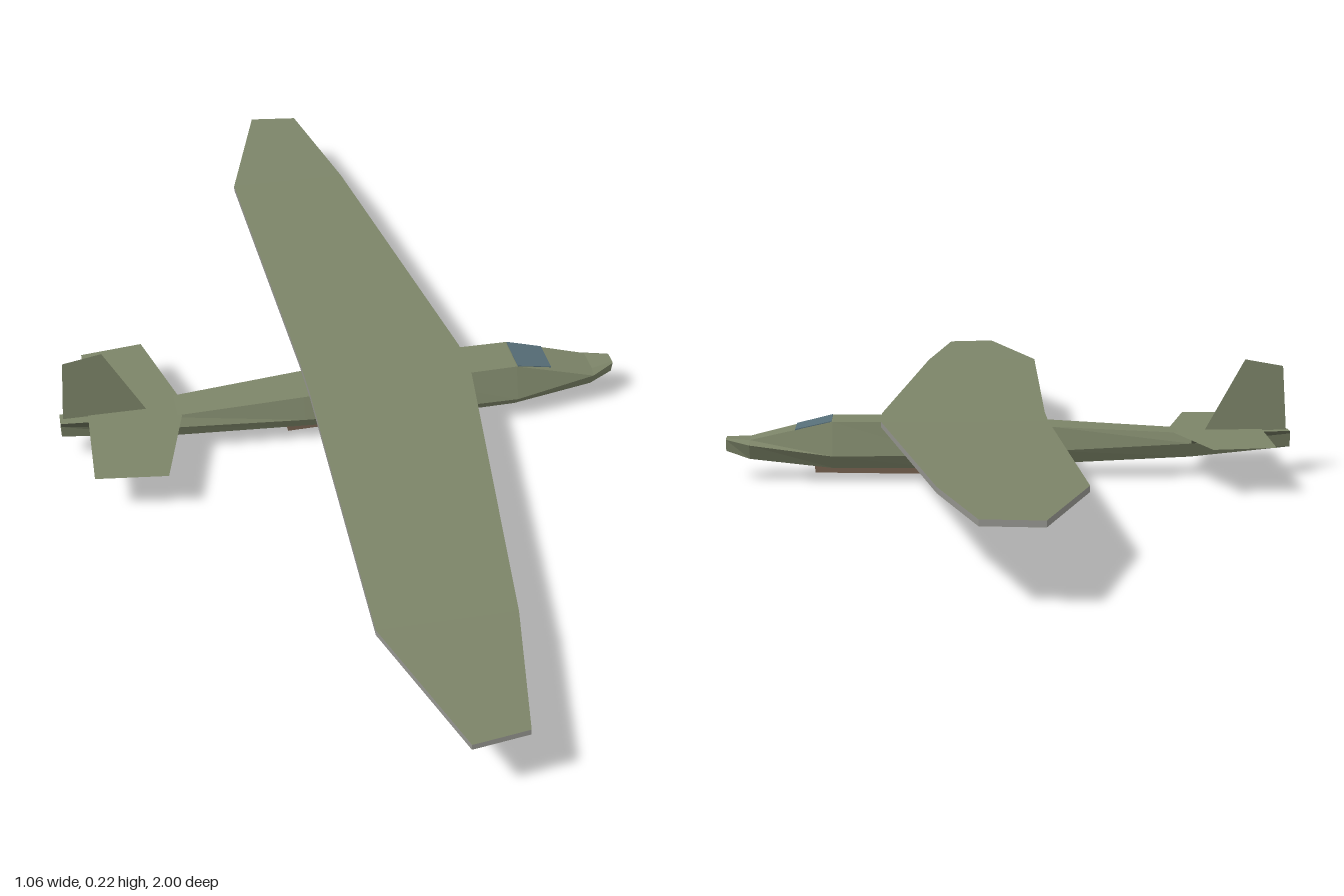
import * as THREE from 'three';

const paint = (name, color, extra = {}) =>
  Object.assign(new THREE.MeshStandardMaterial({ color, ...extra }), { name });

// Joins equal-sized rings (anticlockwise seen from the far end) into a flat-faced solid.
// pick(i, j) gives the material index for side j of span i.
function loft(rings, pick = () => 0) {
  const faces = [];
  const n = rings[0].length;
  const addPoly = (p, m) => {
    for (let k = 1; k < p.length - 1; k++) faces.push({ m, pts: [p[0], p[k], p[k + 1]] });
  };
  for (let i = 0; i < rings.length - 1; i++) {
    for (let j = 0; j < n; j++) {
      const k = (j + 1) % n;
      addPoly([rings[i][j], rings[i][k], rings[i + 1][k], rings[i + 1][j]], pick(i, j));
    }
  }
  addPoly([...rings[0]].reverse(), pick(0, -1));
  addPoly(rings[rings.length - 1], pick(rings.length - 2, -1));
  faces.sort((a, b) => a.m - b.m);
  const g = new THREE.BufferGeometry();
  g.setAttribute('position', new THREE.Float32BufferAttribute(faces.flatMap((f) => f.pts.flat()), 3));
  faces.forEach((f, i) => g.addGroup(i * 3, 3, f.m));
  g.computeVertexNormals();
  return g;
}

export function createModel() {
  const model = new THREE.Group();
  model.name = 'glider';
  const olive = paint('olive', 0x7c8468);
  const thinOlive = paint('olive thin surfaces', 0x7c8468, { side: THREE.DoubleSide });
  const darkOlive = paint('dark olive', 0x3c4032);
  const grey = paint('underside grey', 0x94948e);
  const brown = paint('skid brown', 0x75604f);
  const glass = paint('canopy glass', 0x566e78);

  const add = (name, geometry, material) => {
    const mesh = new THREE.Mesh(geometry, material);
    mesh.name = name;
    model.add(mesh);
    return mesh;
  };

  // Hexagonal fuselage: x, top y, top half width, middle y, middle half width, bottom y, bottom half width
  const stations = [
    [-0.53, 0.083, 0.015, 0.079, 0.018, 0.053, 0.012],
    [-0.34, 0.083, 0.031, 0.065, 0.041, 0.038, 0.028],
    [-0.08, 0.099, 0.042, 0.056, 0.055, 0.029, 0.036],
    [0.12, 0.11, 0.045, 0.05, 0.062, 0.022, 0.04],
    [0.33, 0.112, 0.042, 0.05, 0.062, 0.024, 0.038],
    [0.485, 0.076, 0.026, 0.068, 0.04, 0.04, 0.024],
    [0.53, 0.077, 0.012, 0.075, 0.016, 0.053, 0.01],
  ];
  const rings = stations.map(([x, ty, tw, my, mw, by, bw]) => [
    [x, ty, -tw], [x, ty, tw], [x, my, mw], [x, by, bw], [x, by, -bw], [x, my, -mw],
  ]);
  // The upper tail sides are dark
  add('fuselage', loft(rings, (i, j) => (i === 0 && (j === 1 || j === 5) ? 1 : 0)), [olive, darkOlive]);

  // Canopy panel lying on the sloping nose deck
  add('canopy', loft([[0.332, 0.112, 0.041], [0.4, 0.0965, 0.035]].map(([x, y, w]) => [
    [x, y + 0.001, -w], [x, y + 0.001, w], [x, y - 0.002, w], [x, y - 0.002, -w],
  ])), glass);

  // Tapered wing with slight dihedral: z, trailing x, leading x, underside y, tip sweep in z
  const half = [
    [0.05, -0.07, 0.24, 0.102, 0],
    [0.72, -0.09, 0.145, 0.113, 0],
    [1, -0.005, 0.09, 0.12, 0.013],
  ];
  const wingRing = ([z, back, front, y, sweep], s) => [
    [front, y, s * (z - sweep)], [front, y + 0.01, s * (z - sweep)],
    [back, y + 0.01, s * z], [back, y, s * z],
  ];
  const wingRings = [
    ...[...half].reverse().map((h) => wingRing(h, -1)),
    ...half.map((h) => wingRing(h, 1)),
  ];
  add('wing', loft(wingRings, (i, j) => (j === 1 ? 0 : 1)), [olive, grey]);

  // Wing struts
  const strutRing = (x, y, z) => [
    [x + 0.008, y - 0.003, z], [x + 0.008, y + 0.003, z],
    [x - 0.008, y + 0.003, z], [x - 0.008, y - 0.003, z],
  ];
  for (const s of [1, -1]) {
    const ends = [strutRing(0.108, 0.047, s * 0.055), strutRing(0.065, 0.107, s * 0.355)];
    add(s > 0 ? 'leftStrut' : 'rightStrut', loft(s > 0 ? ends : ends.reverse()), olive);
  }

  // Paper-thin tail surfaces
  const plate = (pts) => new THREE.ShapeGeometry(new THREE.Shape(pts.map((p) => new THREE.Vector2(...p))));
  add('fin', plate([[-0.525, 0.08], [-0.368, 0.08], [-0.445, 0.218], [-0.517, 0.205]]), thinOlive);
  const tail = plate([
    [-0.485, -0.193], [-0.355, -0.21], [-0.308, -0.035],
    [-0.308, 0.035], [-0.355, 0.215], [-0.472, 0.2],
  ]);
  tail.rotateX(-Math.PI / 2);
  add('tailplane', tail, thinOlive).position.y = 0.0845;

  // Landing skid
  add('skid', loft([[-0.105, 0], [0.365, 0.01]].map(([x, y]) => [
    [x, y + 0.015, -0.008], [x, y + 0.015, 0.008], [x, y, 0.008], [x, y, -0.008],
  ])), brown);

  return model;
}
